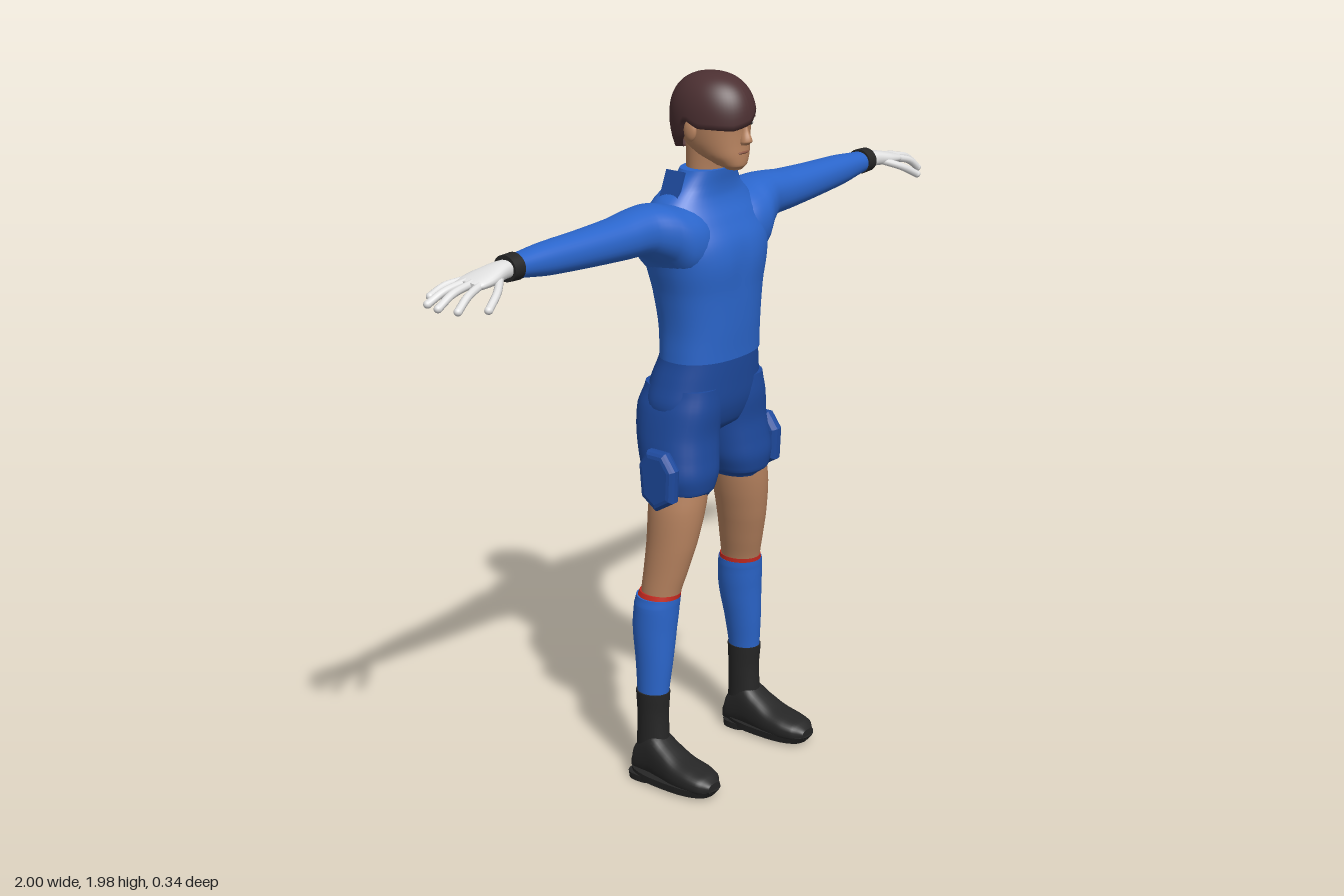
import * as THREE from 'three';

const mat = (name, color, side = THREE.FrontSide) => {
  const m = new THREE.MeshStandardMaterial({ color, side });
  m.name = name;
  return m;
};

// Closed smooth body from superellipse sections [t, a0, a1, b0, b1], t increasing.
// Axis x spans (y, z), axis y spans (z, x), axis z spans (x, y).
function loft(axis, sections, { n = 2, sides = 32, steps = 5, warp } = {}) {
  const k = { x: 0, y: 1, z: 2 }[axis], rings = [], at = i => sections[Math.max(0, Math.min(sections.length - 1, i))];
  for (let i = 0; i < sections.length - 1; i++) {
    for (let s = 0; s < steps; s++) {
      const u = s / steps;
      rings.push(at(i).map((p1, c) => {
        if (c === 0) return p1 + (at(i + 1)[0] - p1) * u;
        const p0 = at(i - 1)[c], p2 = at(i + 1)[c], p3 = at(i + 2)[c];
        const m1 = (p2 - p0) / 2, m2 = (p3 - p1) / 2;
        return p1 + m1 * u + (3 * (p2 - p1) - 2 * m1 - m2) * u * u + (2 * (p1 - p2) + m1 + m2) * u ** 3;
      }));
    }
  }
  rings.push(at(sections.length - 1));
  const pos = [], idx = [];
  const put = (t, a, b) => {
    const p = new THREE.Vector3();
    p.setComponent(k, t).setComponent((k + 1) % 3, a).setComponent((k + 2) % 3, b);
    if (warp) warp(p);
    pos.push(p.x, p.y, p.z);
  };
  const ring = ([t, a0, a1, b0, b1]) => {
    for (let j = 0; j < sides; j++) {
      const c = Math.cos(j / sides * Math.PI * 2), s = Math.sin(j / sides * Math.PI * 2);
      put(t, (a0 + a1) / 2 + (a1 - a0) / 2 * Math.sign(c) * Math.abs(c) ** (2 / n),
        (b0 + b1) / 2 + (b1 - b0) / 2 * Math.sign(s) * Math.abs(s) ** (2 / n));
    }
  };
  rings.forEach(ring);
  for (let i = 0; i < rings.length - 1; i++) {
    for (let j = 0; j < sides; j++) {
      const a = i * sides + j, b = i * sides + (j + 1) % sides;
      idx.push(a, b, b + sides, a, b + sides, a + sides);
    }
  }
  for (const end of [0, rings.length - 1]) {
    const r = rings[end], base = pos.length / 3;
    ring(r);
    put(r[0], (r[1] + r[2]) / 2, (r[3] + r[4]) / 2);
    for (let j = 0; j < sides; j++) {
      const a = base + j, b = base + (j + 1) % sides, c = base + sides;
      if (end) idx.push(a, b, c); else idx.push(b, a, c);
    }
  }
  return finish(pos, idx);
}

function finish(pos, idx) {
  const g = new THREE.BufferGeometry();
  g.setAttribute('position', new THREE.Float32BufferAttribute(pos, 3));
  g.setIndex(idx);
  g.computeVertexNormals();
  return g;
}

function mirrored(geo) {
  const g = geo.index ? geo.toNonIndexed() : geo.clone();
  g.scale(-1, 1, 1);
  for (const a of Object.values(g.attributes)) {
    for (let i = 0; i < a.count; i += 3) {
      for (let c = 0; c < a.itemSize; c++) {
        const t = a.getComponent(i, c);
        a.setComponent(i, c, a.getComponent(i + 1, c));
        a.setComponent(i + 1, c, t);
      }
    }
  }
  return g;
}

// Hair shell whose lower edge follows a hairline height for each azimuth (0 = front, 90 = left)
function hairGeometry() {
  const line = [[0, 1.855], [25, 1.885], [60, 1.89], [80, 1.85], [100, 1.87], [120, 1.81], [150, 1.775], [180, 1.77],
    [210, 1.775], [240, 1.81], [260, 1.865], [280, 1.845], [300, 1.845], [330, 1.842], [360, 1.855]];
  const top = 1.98, mid = 1.86, cols = 60, rows = 18, pos = [], idx = [];
  for (let i = 0; i <= rows + 1; i++) {
    for (let j = 0; j <= cols; j++) {
      const deg = j / cols * 360, s = Math.max(1, line.findIndex(p => p[0] >= deg));
      const [d0, y0] = line[s - 1], [d1, y1] = line[s];
      const edge = y0 + (y1 - y0) * (deg - d0) / (d1 - d0);
      const y = top - (top - edge) * Math.min(1, i / rows) ** 2;
      const t = (y - mid) / (top - mid);
      let r = t > 0 ? Math.max(0, 1 - t ** 2.3) ** (1 / 2.3) : 1 - 0.2 * (t * 1.2) ** 2;
      if (i > rows) r *= 0.78;
      const a = deg * Math.PI / 180;
      pos.push(-0.01 + 0.096 * r * Math.sin(a), y, -0.005 + 0.125 * r * Math.cos(a));
      if (i <= rows && j < cols) {
        const p = i * (cols + 1) + j, q = p + cols + 1;
        idx.push(p, q, q + 1, p, q + 1, p + 1);
      }
    }
  }
  return finish(pos, idx);
}

export function createModel() {
  const blue = mat('shirt blue', 0x2b66cc), navy = mat('shorts blue', 0x1e4a9e), skin = mat('skin', 0xb98460);
  const brown = mat('hair brown', 0x4c3032, THREE.DoubleSide), white = mat('glove white', 0xe2e2e2);
  const black = mat('boot black', 0x262626), red = mat('sock trim red', 0xc62a20), lip = mat('lip', 0x8c5744);
  const model = new THREE.Group();
  const add = (name, geo, material) => {
    const m = new THREE.Mesh(geo, material);
    m.name = name;
    model.add(m);
  };
  const pair = (name, geo, material) => {
    add(name + 'Left', geo, material);
    add(name + 'Right', mirrored(geo), material);
  };
  const ball = (x, y, z, rx, ry, rz) => new THREE.SphereGeometry(1, 20, 14).scale(rx, ry, rz).translate(x, y, z);

  // Shirt with spine groove
  add('shirt', loft('y', [
    [1.215, -0.132, 0.083, -0.158, 0.158], [1.3, -0.137, 0.088, -0.156, 0.156], [1.4, -0.152, 0.092, -0.168, 0.168],
    [1.48, -0.167, 0.097, -0.188, 0.188], [1.54, -0.172, 0.086, -0.2, 0.2], [1.6, -0.165, 0.055, -0.19, 0.19],
    [1.645, -0.142, 0.031, -0.155, 0.155], [1.68, -0.118, 0.026, -0.115, 0.115], [1.725, -0.09, 0.03, -0.085, 0.085],
  ], { n: 2.3, sides: 48, warp: p => {
    const groove = Math.exp(-((p.x / 0.03) ** 2));
    if (p.z < -0.06 && p.y < 1.66) p.z += 0.014 * groove;
    if (p.z > 0.03) p.z -= 0.006 * groove * Math.exp(-(((p.y - 1.48) / 0.07) ** 2));
  } }), blue);

  // Sleeves, cuffs and shoulder straps
  pair('sleeve', loft('x', [
    [0.05, 1.46, 1.62, -0.14, 0.05], [0.11, 1.44, 1.638, -0.155, 0.065], [0.16, 1.45, 1.647, -0.153, 0.062],
    [0.2, 1.495, 1.655, -0.142, 0.045], [0.26, 1.528, 1.656, -0.122, 0.021], [0.35, 1.535, 1.647, -0.112, 0.013],
    [0.48, 1.543, 1.641, -0.104, 0.003], [0.62, 1.553, 1.636, -0.1, -0.01], [0.74, 1.57, 1.627, -0.088, -0.022],
  ], { n: 2.2 }), blue);
  pair('cuff', loft('x', [[0.722, 1.564, 1.635, -0.092, -0.016], [0.757, 1.566, 1.634, -0.091, -0.017]], { steps: 1 }), black);
  pair('shoulderStrap', new THREE.BoxGeometry(0.009, 0.1, 0.06).rotateZ(0.4).translate(0.121, 1.677, -0.055), navy);

  // Gloves
  pair('palm', loft('x', [
    [0.745, 1.578, 1.622, -0.08, -0.026], [0.78, 1.578, 1.622, -0.083, -0.02], [0.83, 1.574, 1.612, -0.098, -0.01],
    [0.87, 1.573, 1.602, -0.102, -0.012], [0.89, 1.577, 1.596, -0.095, -0.018],
  ], { n: 2.4, sides: 20 }), white);
  const fingers = [
    ['littleFinger', [0.865, 1.588, -0.092], [0.91, 1.58, -0.11], [0.945, 1.56, -0.123]],
    ['ringFinger', [0.875, 1.59, -0.072], [0.94, 1.577, -0.083], [0.985, 1.555, -0.092]],
    ['middleFinger', [0.875, 1.59, -0.05], [0.945, 1.577, -0.05], [0.99, 1.552, -0.052]],
    ['indexFinger', [0.87, 1.588, -0.027], [0.925, 1.572, -0.018], [0.962, 1.545, -0.014]],
    ['thumb', [0.8, 1.592, -0.03], [0.85, 1.57, 0.008], [0.9, 1.542, 0.027]],
  ];
  for (const [name, ...pts] of fingers) {
    const [a, b, c] = pts.map(p => new THREE.Vector3(...p));
    pair(name, new THREE.TubeGeometry(new THREE.CatmullRomCurve3([a, b, c]), 8, 0.0105, 10), white);
    pair(name + 'Tip', ball(c.x, c.y, c.z, 0.0115, 0.0105, 0.0105), white);
  }

  // Shorts
  add('shortsSeat', loft('y', [
    [0.985, -0.1, 0.0, -0.05, 0.05], [1.02, -0.145, 0.045, -0.15, 0.15], [1.08, -0.167, 0.067, -0.186, 0.186],
    [1.15, -0.157, 0.075, -0.173, 0.173], [1.225, -0.132, 0.08, -0.154, 0.154],
  ], { n: 2.3, sides: 48 }), navy);
  pair('shortsLeg', loft('y', [
    [0.838, -0.112, 0.05, 0.052, 0.19], [0.855, -0.122, 0.062, 0.038, 0.2], [0.9, -0.135, 0.07, 0.021, 0.211],
    [0.95, -0.152, 0.066, 0.012, 0.208], [1.01, -0.167, 0.062, 0.004, 0.2], [1.08, -0.171, 0.068, 0, 0.187],
    [1.14, -0.152, 0.066, 0.01, 0.168],
  ], { n: 2.4 }), navy);

  // Thigh pouches
  const hexagon = new THREE.Shape([[0.01, 0.985], [-0.05, 0.985], [-0.078, 0.94], [-0.07, 0.85], [-0.02, 0.815],
    [0.038, 0.85], [0.043, 0.94]].map(([z, y]) => new THREE.Vector2(-z, y)));
  pair('pouch', new THREE.ExtrudeGeometry(hexagon, {
    depth: 0.012, bevelThickness: 0.016, bevelSize: 0.018, bevelOffset: -0.018, bevelSegments: 3,
  }).rotateY(Math.PI / 2).translate(0.218, 0, 0), navy);

  // Legs, socks and boots
  pair('thigh', loft('y', [
    [0.54, -0.113, 0, 0.128, 0.228], [0.62, -0.11, 0.02, 0.11, 0.222], [0.7, -0.108, 0.04, 0.09, 0.217],
    [0.8, -0.11, 0.055, 0.066, 0.212], [0.88, -0.11, 0.058, 0.055, 0.198],
  ]), skin);
  pair('sockTrim', loft('y', [[0.54, -0.122, 0.003, 0.124, 0.238], [0.558, -0.117, 0.004, 0.124, 0.231]], { steps: 1 }), red);
  pair('sock', loft('y', [
    [0.25, -0.109, -0.016, 0.165, 0.245], [0.35, -0.118, -0.008, 0.15, 0.246], [0.45, -0.131, -0.003, 0.132, 0.248],
    [0.52, -0.128, 0.002, 0.124, 0.246], [0.546, -0.124, 0.004, 0.123, 0.24],
  ]), blue);
  pair('bootShaft', loft('y', [
    [0.05, -0.115, -0.005, 0.163, 0.25], [0.12, -0.112, -0.013, 0.165, 0.246], [0.2, -0.11, -0.017, 0.163, 0.246],
    [0.265, -0.113, -0.012, 0.161, 0.249],
  ]), black);
  pair('foot', loft('z', [
    [-0.12, 0.175, 0.235, 0.01, 0.06], [-0.105, 0.165, 0.248, 0.008, 0.1], [-0.05, 0.16, 0.255, 0.008, 0.145],
    [0, 0.157, 0.262, 0.008, 0.118], [0.05, 0.154, 0.269, 0.008, 0.09], [0.1, 0.154, 0.27, 0.01, 0.077],
    [0.14, 0.166, 0.262, 0.014, 0.066], [0.165, 0.19, 0.24, 0.02, 0.05],
  ], { n: 2.6 }), black);
  pair('sole', loft('y', [[0.008, -0.12, 0.155, 0.156, 0.272], [0.03, -0.122, 0.172, 0.152, 0.275]], { n: 2.5, steps: 1 }), black);
  pair('heel', loft('y', [[0, -0.12, -0.03, 0.16, 0.265], [0.02, -0.122, -0.025, 0.158, 0.268]], { n: 3, steps: 1 }), black);

  // Head
  add('neck', loft('y', [[1.66, -0.085, 0.02, -0.06, 0.06], [1.72, -0.085, 0.022, -0.06, 0.06],
    [1.8, -0.09, 0.04, -0.06, 0.06]]), skin);
  add('head', loft('y', [
    [1.73, 0.045, 0.085, -0.028, 0.014], [1.742, 0.01, 0.095, -0.045, 0.033], [1.768, -0.05, 0.097, -0.067, 0.057],
    [1.8, -0.09, 0.096, -0.079, 0.069], [1.84, -0.105, 0.097, -0.085, 0.077], [1.88, -0.11, 0.102, -0.087, 0.079],
    [1.92, -0.1, 0.09, -0.075, 0.067], [1.945, -0.06, 0.05, -0.04, 0.035],
  ], { n: 2.15 }), skin);
  add('nose', loft('y', [[1.798, 0.085, 0.108, -0.018, 0.01], [1.808, 0.08, 0.119, -0.02, 0.012],
    [1.835, 0.08, 0.108, -0.013, 0.005], [1.865, 0.08, 0.1, -0.01, 0.002]], { sides: 16 }), skin);
  add('mouth', ball(-0.005, 1.777, 0.094, 0.022, 0.004, 0.006), lip);
  for (const s of [-1, 1]) {
    const x = -0.005 + s * 0.036;
    add('ear', ball(-0.005 + s * 0.083, 1.833, -0.018, 0.011, 0.029, 0.02), skin);
    add('eye', ball(x, 1.848, 0.087, 0.014, 0.005, 0.005), white);
    add('iris', ball(x, 1.848, 0.089, 0.005, 0.005, 0.005), black);
    add('eyebrow', ball(x, 1.865, 0.089, 0.019, 0.004, 0.007), brown);
  }
  add('hair', hairGeometry(), brown);
  return model;
}
